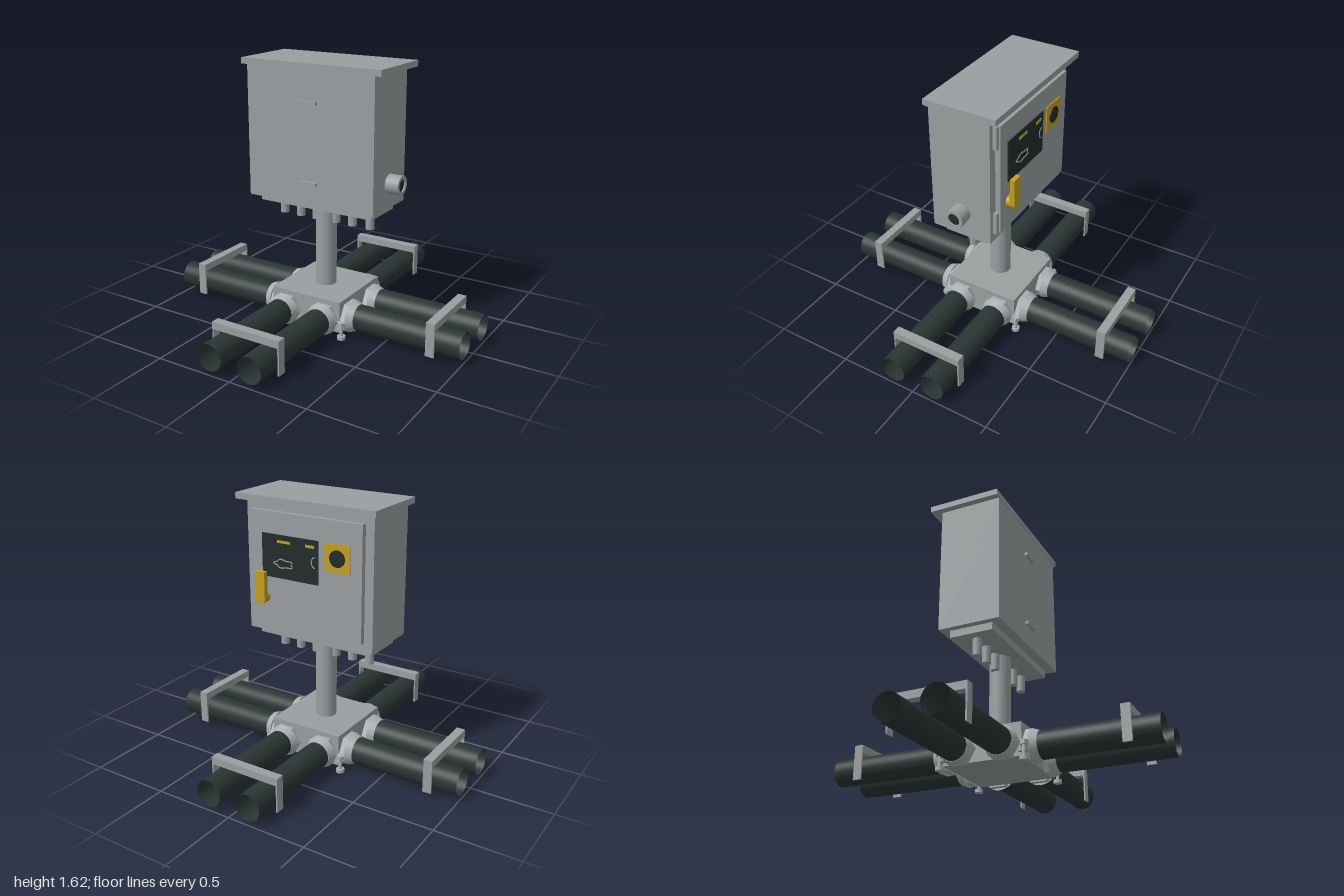
import * as THREE from 'three';

export function createModel() {
  const model = new THREE.Group();
  model.name = 'junctionCabinet';

  const mat = (name, color, side = THREE.FrontSide) => {
    const m = new THREE.MeshStandardMaterial({ color, side });
    m.name = name;
    return m;
  };
  const grey = mat('paintedGrey', 0x9a9fa1);
  const steel = mat('lightSteel', 0xa9afb1);
  const dark = mat('darkPipe', 0x2a3534, THREE.DoubleSide);
  const black = mat('panelBlack', 0x242c2c);
  const yellow = mat('yellow', 0xc2a01e);

  const add = (parent, name, geo, material, x = 0, y = 0, z = 0) => {
    const mesh = new THREE.Mesh(geo, material);
    mesh.name = name;
    mesh.position.set(x, y, z);
    parent.add(mesh);
    return mesh;
  };
  // Box given by its minimum and maximum corners
  const box = (parent, name, material, [x0, y0, z0], [x1, y1, z1]) =>
    add(parent, name, new THREE.BoxGeometry(x1 - x0, y1 - y0, z1 - z0), material,
      (x0 + x1) / 2, (y0 + y1) / 2, (z0 + z1) / 2);
  const cyl = (r, h, seg = 32) => new THREE.CylinderGeometry(r, r, h, seg);
  // Hexagonal prism with flat faces and corners on +x and -x
  const hex = (r, h) => {
    const g = cyl(r, h, 6).rotateY(Math.PI / 6).toNonIndexed();
    g.computeVertexNormals();
    return g;
  };

  // Hub and post
  box(model, 'hub', grey, [-0.24, 0.03, -0.24], [0.24, 0.225, 0.24]);
  add(model, 'post', cyl(0.065, 0.53), grey, 0, 0.485, 0);

  // Four arms, each with two open pipes, their couplings and a saddle clamp
  const pipeY = 0.108;
  for (let i = 0; i < 4; i++) {
    const arm = new THREE.Group();
    arm.name = 'pipeArm';
    arm.rotation.y = i * Math.PI / 2;
    model.add(arm);

    for (const x of [-0.135, 0.135]) {
      add(arm, 'pipe', new THREE.CylinderGeometry(0.081, 0.081, 0.71, 40, 1, true).rotateX(Math.PI / 2),
        dark, x, pipeY, 0.645);
      add(arm, 'couplingNut', hex(0.1, 0.035).rotateX(Math.PI / 2), steel, x, pipeY, 0.255);
      add(arm, 'couplingCone', new THREE.CylinderGeometry(0.083, 0.1, 0.045, 40).rotateX(Math.PI / 2),
        steel, x, pipeY, 0.295);
    }

    // Saddle clamp: an upside-down U over both pipes
    const u = new THREE.Shape();
    [[-0.228, 0.03], [-0.228, 0.24], [0.228, 0.24], [0.228, 0.03],
      [0.218, 0.03], [0.218, 0.195], [-0.218, 0.195], [-0.218, 0.03]]
      .forEach(([x, y], k) => (k ? u.lineTo(x, y) : u.moveTo(x, y)));
    add(arm, 'saddleClamp', new THREE.ExtrudeGeometry(u, { depth: 0.054, bevelEnabled: false }),
      grey, 0, 0, 0.798);

    // Corner levelling bolt with its lug
    box(arm, 'boltLug', grey, [0.225, 0.05, 0.225], [0.27, 0.065, 0.26]);
    add(arm, 'boltStem', cyl(0.011, 0.1, 16), steel, 0.26, 0.055, 0.25);
    add(arm, 'boltFoot', cyl(0.025, 0.022, 20), steel, 0.26, 0.011, 0.25);
    add(arm, 'boltNut', hex(0.025, 0.025), steel, 0.26, 0.098, 0.25);
  }

  // Cabinet body, lid and gland tray
  box(model, 'glandTray', grey, [-0.39, 0.74, -0.135], [0.39, 0.787, 0.135]);
  box(model, 'cabinet', grey, [-0.43, 0.785, -0.19], [0.43, 1.59, 0.195]);
  box(model, 'lid', grey, [-0.47, 1.588, -0.25], [0.47, 1.625, 0.2]);
  for (const x of [0.07, 0.187, 0.307]) {
    for (const s of [-1, 1]) add(model, 'cableGland', cyl(0.027, 0.11, 24), grey, s * x, 0.69, 0);
  }
  for (const y of [0.92, 1.4]) {
    box(model, 'frontBracket', grey, [-0.057, y - 0.009, 0.19], [0.057, y + 0.009, 0.215]);
  }

  // Side outlet with a dark bore
  const ring = new THREE.Shape().absarc(0, 0, 0.058, 0, Math.PI * 2);
  ring.holes.push(new THREE.Path().absarc(0, 0, 0.038, 0, Math.PI * 2, true));
  const outlet = new THREE.ExtrudeGeometry(ring, { depth: 0.087, bevelEnabled: false, curveSegments: 24 });
  add(model, 'sideOutlet', outlet.rotateY(Math.PI / 2), grey, 0.428, 0.937, 0);
  add(model, 'outletBore', cyl(0.038, 0.06).rotateZ(Math.PI / 2), black, 0.475, 0.937, 0);

  // Door and hinges on the back
  box(model, 'door', grey, [-0.375, 0.84, -0.223], [0.375, 1.535, -0.185]);
  for (const y of [0.91, 1.465]) {
    box(model, 'hinge', grey, [0.37, y - 0.07, -0.213], [0.4, y + 0.07, -0.185]);
  }

  // Control panel with small markings
  box(model, 'controlPanel', black, [-0.09, 1.145, -0.229], [0.3, 1.405, -0.222]);
  for (const [x, w] of [[0.145, 0.09], [-0.035, 0.06]]) {
    box(model, 'panelLabel', yellow, [x - w / 2, 1.358, -0.232], [x + w / 2, 1.374, -0.228]);
  }
  const outline = [];
  for (let k = 0; k < 24; k++) {
    const a = k / 24 * Math.PI * 2, w = 1 + 0.15 * Math.cos(5 * a);
    outline.push(new THREE.Vector3(0.148 + 0.063 * w * Math.cos(a), 1.235 + 0.024 * w * Math.sin(a), -0.229));
  }
  add(model, 'panelOutline',
    new THREE.TubeGeometry(new THREE.CatmullRomCurve3(outline, true), 72, 0.004, 6, true), grey);
  add(model, 'panelArc', new THREE.TorusGeometry(0.035, 0.004, 6, 20, Math.PI * 0.8)
    .rotateZ(-Math.PI * 0.4), grey, -0.09 + 0.005 - 0.035 + 0.04, 1.275, -0.229);

  // Yellow plate with a round dark button
  box(model, 'switchPlate', yellow, [-0.3, 1.24, -0.229], [-0.135, 1.405, -0.222]);
  add(model, 'switchButton', cyl(0.05, 0.008).rotateX(Math.PI / 2), black, -0.218, 1.322, -0.23);

  // Lever handle
  const handle = new THREE.Group();
  handle.name = 'doorHandle';
  handle.position.set(0.287, 1.015, 0);
  model.add(handle);
  add(handle, 'handleBoss', cyl(0.034, 0.04, 28).rotateX(Math.PI / 2), yellow, 0, 0, -0.24);
  const lever = new THREE.Shape();
  lever.moveTo(0.034, 0.165);
  lever.lineTo(-0.034, 0.165);
  lever.lineTo(-0.034, 0);
  lever.absarc(0, 0, 0.034, Math.PI, Math.PI * 2);
  add(handle, 'handleLever',
    new THREE.ExtrudeGeometry(lever, { depth: 0.03, bevelEnabled: false }), yellow, 0, 0, -0.28);

  return model;
}
